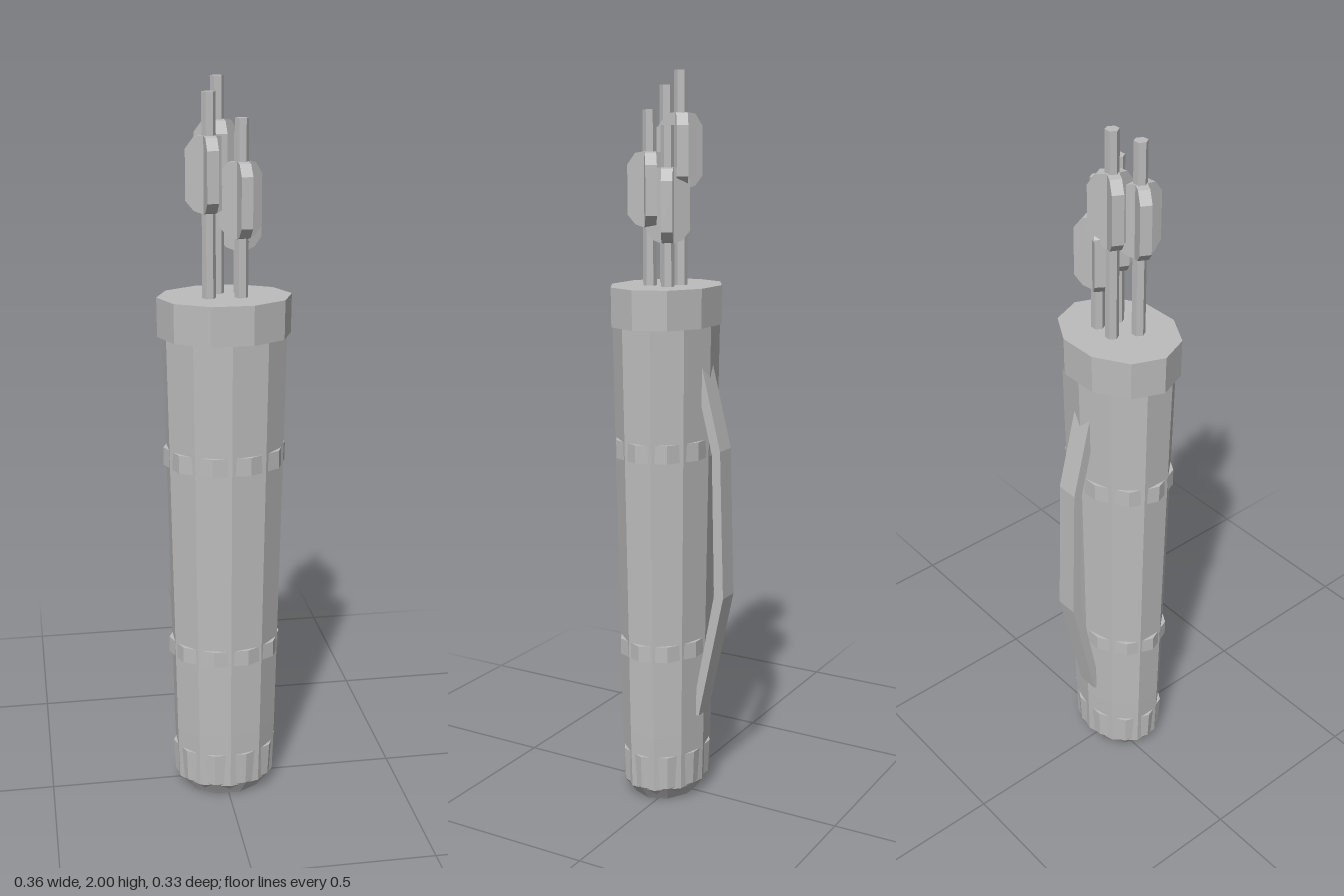
import * as THREE from 'three';

const grey = new THREE.MeshStandardMaterial({ color: 0xbcbcbc, flatShading: true });
grey.name = 'grey';

const CENTRE_Z = 0.027; // axis of the oval case
const ASPECT = 0.806;   // depth / width of the oval

function add(parent, name, geometry) {
  const mesh = new THREE.Mesh(geometry, grey);
  mesh.name = name;
  parent.add(mesh);
  return mesh;
}

// Closed ten-sided oval tube; points are [radius, y] from bottom to top
function oval(parent, name, points, turn) {
  const profile = [[0, points[0][0 + 1]], ...points, [0, points[points.length - 1][1]]]
    .map(([r, y]) => new THREE.Vector2(r, y));
  const geometry = new THREE.LatheGeometry(profile, 10, turn);
  geometry.scale(1, 1, ASPECT);
  geometry.translate(0, 0, CENTRE_Z);
  return add(parent, name, geometry);
}

// Bent band running down the back, given as a side outline
function strapGeometry() {
  const outer = [[0.095, 1.25], [0.155, 1.01], [0.167, 0.6], [0.093, 0.245]];
  const inner = [[0.07, 0.245], [0.139, 0.605], [0.13, 1.0], [0.075, 1.22]];
  const shape = new THREE.Shape([...outer, ...inner].map(([d, y]) => new THREE.Vector2(d, y)));
  const geometry = new THREE.ExtrudeGeometry(shape, { depth: 0.062, bevelEnabled: false });
  geometry.translate(0, 0, -0.031);
  geometry.rotateY(Math.PI / 2); // outline x becomes -z
  return geometry;
}

// Thick feather vane reaching out along +x, with its top at y = 0
function vaneGeometry() {
  const outline = [[0, 0], [0.035, -0.005], [0.058, -0.035], [0.058, -0.165], [0.035, -0.19], [0, -0.2]];
  const shape = new THREE.Shape(outline.map(([x, y]) => new THREE.Vector2(x, y)));
  const geometry = new THREE.ExtrudeGeometry(shape, { depth: 0.03, bevelEnabled: false });
  geometry.translate(0, 0, -0.015);
  return geometry;
}

export function createModel() {
  const model = new THREE.Group();
  model.name = 'quiver';

  // Case: its corners fall between those of the bands
  const flat = Math.PI / 10;
  oval(model, 'caseBody', [[0.108, 0.012], [0.142, 0.04], [0.147, 0.2], [0.17, 1.4]], 0);
  oval(model, 'bottomCap', [[0.108, 0], [0.117, 0.012], [0.143, 0.045], [0.148, 0.14]], flat);
  oval(model, 'lowerBand', [[0.157, 0.425], [0.157, 0.47]], flat);
  oval(model, 'upperBand', [[0.167, 0.985], [0.167, 1.035]], flat);
  oval(model, 'rim', [[0.179, 1.34], [0.18, 1.445]], flat);

  add(model, 'backStrap', strapGeometry());

  // Arrows: x, z, top height, twist of the vanes
  const vane = vaneGeometry();
  const arrows = [
    [-0.045, 0.053, 1.965, 0.05],
    [0.04, 0.055, 1.9, 0.08],
    [-0.014, -0.009, 2.0, 0.06],
    [0.047, -0.004, 1.86, -0.05],
  ];
  for (const [x, z, top, twist] of arrows) {
    const arrow = new THREE.Group();
    arrow.name = 'arrow';
    arrow.position.set(x, top, z);
    const length = top - 1.4;
    const shaft = new THREE.CylinderGeometry(0.018, 0.018, length, 6, 1, false, Math.PI / 2);
    shaft.translate(0, -length / 2, 0);
    add(arrow, 'shaft', shaft);
    for (let i = 0; i < 3; i++) {
      const feather = add(arrow, 'vane', vane);
      feather.position.y = -0.105;
      feather.rotation.y = -Math.PI / 2 + twist + (i * Math.PI * 2) / 3;
    }
    model.add(arrow);
  }
  return model;
}
